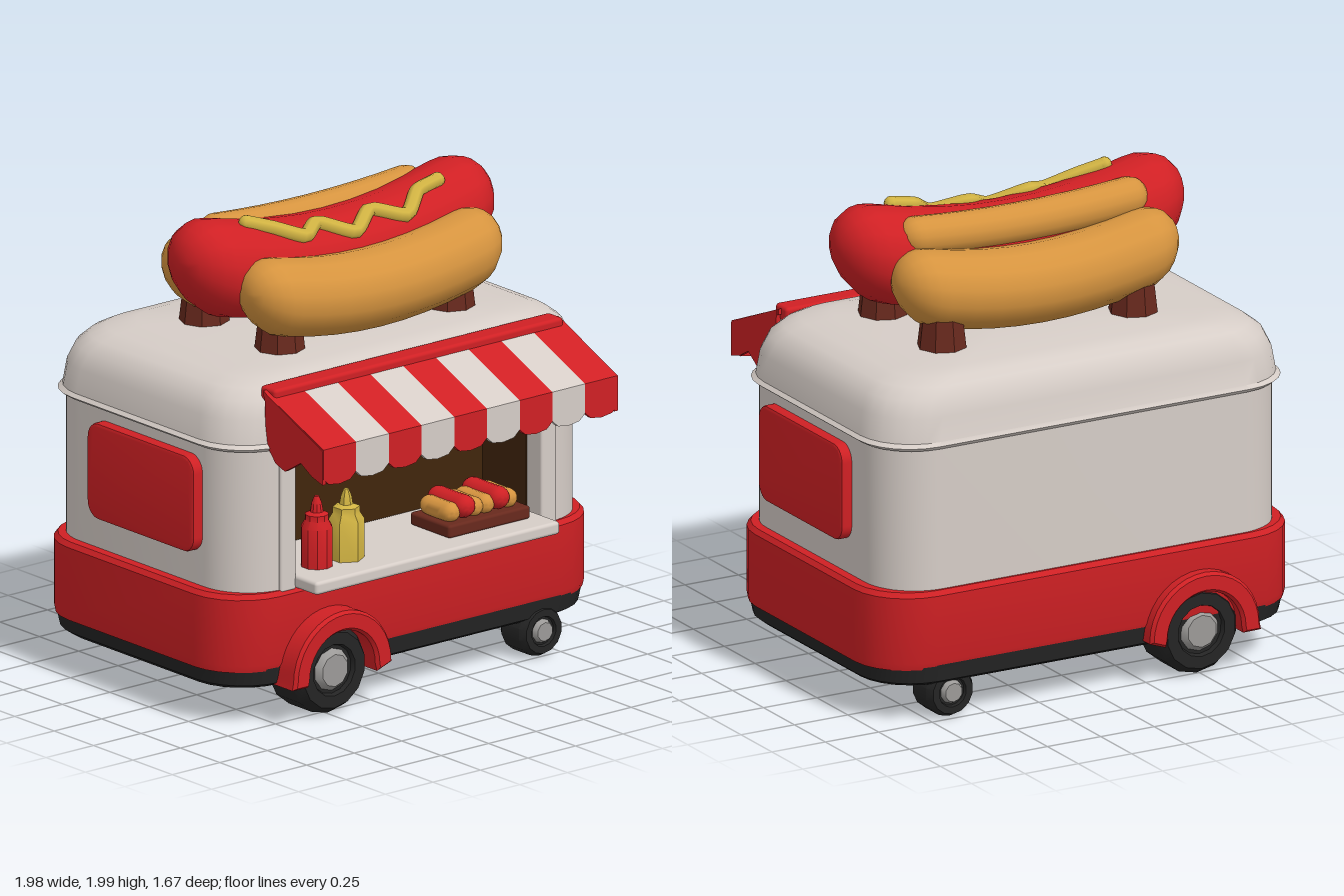
import * as THREE from 'three';
import { toCreasedNormals } from 'three/addons/utils/BufferGeometryUtils.js';
import { RoundedBoxGeometry } from 'three/addons/geometries/RoundedBoxGeometry.js';

const mat = (name, color) => {
  const m = new THREE.MeshStandardMaterial({ color });
  m.name = name;
  return m;
};

export function createModel() {
  const white = mat('cream white', 0xd6cdc7), red = mat('red', 0xd02024), tan = mat('bun tan', 0xd6943f),
    mustard = mat('mustard yellow', 0xd2b443), black = mat('tyre black', 0x242424), brown = mat('wood brown', 0x68291d),
    dark = mat('dark interior', 0x41250c), grey = mat('hub grey', 0x9c9a98);
  const model = new THREE.Group();
  const CZ = -0.13; // middle of the cabin in z

  const add = (name, geo, material, x = 0, y = 0, z = 0, parent = model) => {
    const mesh = new THREE.Mesh(geo, material);
    mesh.name = name;
    mesh.position.set(x, y, z);
    parent.add(mesh);
    return mesh;
  };
  const box = (name, m, x0, x1, y0, y1, z0, z1, r = 0.01) =>
    add(name, new RoundedBoxGeometry(x1 - x0, y1 - y0, z1 - z0, 2, r), m, (x0 + x1) / 2, (y0 + y1) / 2, (z0 + z1) / 2);

  // Stack of rounded rectangles, rows are [y, half width, half depth, corner radius]
  const loft = (rows, seg = 6) => {
    const pos = [], idx = [], n = 4 * (seg + 1);
    for (const [y, hx, hz, r] of rows)
      for (let c = 0; c < 4; c++)
        for (let i = 0; i <= seg; i++) {
          const a = (c + i / seg) * Math.PI / 2;
          const sx = c === 0 || c === 3 ? 1 : -1, sz = c < 2 ? 1 : -1;
          pos.push(sx * (hx - r) + r * Math.cos(a), y, CZ + sz * (hz - r) + r * Math.sin(a));
        }
    const last = rows.length - 1;
    for (let k = 0; k < last; k++)
      for (let j = 0; j < n; j++) {
        const a = k * n + j, b = k * n + (j + 1) % n;
        idx.push(a, a + n, b, b, a + n, b + n);
      }
    const bot = pos.length / 3;
    pos.push(0, rows[0][0], CZ, 0, rows[last][0], CZ);
    for (let j = 0; j < n; j++) {
      const k = (j + 1) % n;
      idx.push(bot, j, k, bot + 1, last * n + k, last * n + j);
    }
    const g = new THREE.BufferGeometry();
    g.setAttribute('position', new THREE.Float32BufferAttribute(pos, 3));
    g.setIndex(idx);
    return toCreasedNormals(g, 0.6);
  };

  // Chassis, red skirt and roof
  add('chassis', loft([[0.16, 0.94, 0.6, 0.23], [0.18, 0.965, 0.635, 0.24], [0.26, 0.98, 0.645, 0.24]]), black);
  add('skirt', loft([[0.24, 0.985, 0.64, 0.24], [0.27, 0.99, 0.65, 0.25], [0.55, 0.99, 0.65, 0.25], [0.57, 0.975, 0.635, 0.24]]), red);
  add('roof', loft([[1.17, 0.95, 0.63, 0.23], [1.185, 0.97, 0.642, 0.24], [1.2, 0.955, 0.63, 0.24], [1.3, 0.94, 0.62, 0.24],
    [1.37, 0.91, 0.6, 0.24], [1.41, 0.86, 0.57, 0.23], [1.435, 0.79, 0.53, 0.2], [1.45, 0.66, 0.46, 0.15]]), white);

  // Cabin walls with the serving recess cut into the front
  const W = 0.935, F = -0.5, B = 0.755, R = 0.23, deep = -0.14, P = Math.PI / 2;
  const plan = new THREE.Shape();
  plan.moveTo(-W + R, F);
  [[-0.65, F], [-0.65, deep], [0.64, deep], [0.64, F], [W - R, F]].forEach(p => plan.lineTo(...p));
  plan.absarc(W - R, F + R, R, -P, 0);
  plan.absarc(W - R, B - R, R, 0, P);
  plan.absarc(-W + R, B - R, R, P, 2 * P);
  plan.absarc(-W + R, F + R, R, 2 * P, 3 * P);
  const walls = new THREE.ExtrudeGeometry(plan, { depth: 0.64, bevelEnabled: false, curveSegments: 6 }).rotateX(-P);
  add('walls', toCreasedNormals(walls, 0.6), white, 0, 0.55, 0);
  box('interiorBack', dark, -0.65, 0.64, 0.57, 1.19, 0.135, 0.145, 0.002);
  box('interiorCeiling', dark, -0.65, 0.64, 1.16, 1.169, 0.14, 0.49, 0.002);
  for (const [a, b] of [[-0.652, -0.644], [0.634, 0.642]]) box('interiorSide', dark, a, b, 0.57, 1.19, 0.14, 0.42, 0.002);
  for (const [a, b] of [[-0.73, -0.65], [0.64, 0.72]]) box('windowFrame', white, a, b, 0.56, 1.2, 0.45, 0.512);
  box('counter', white, -0.655, 0.63, 0.565, 0.62, 0.14, 0.645, 0.015);

  // Red side panels
  for (const s of [-1, 1]) {
    const w = 0.34, h = 0.205, r = 0.07, p = new THREE.Shape();
    p.absarc(w - r, h - r, r, 0, P);
    p.absarc(r - w, h - r, r, P, 2 * P);
    p.absarc(r - w, r - h, r, 2 * P, 3 * P);
    p.absarc(w - r, r - h, r, 3 * P, 4 * P);
    const g = new THREE.ExtrudeGeometry(p, { depth: 0.04, bevelThickness: 0.012, bevelSize: 0.012, bevelOffset: -0.012, bevelSegments: 2, curveSegments: 5 });
    add('sidePanel', toCreasedNormals(g.rotateY(s * P), 0.6), red, s * 0.93, 0.915, -0.08);
  }

  // Striped awning with scalloped valance
  const awning = new THREE.Group();
  awning.name = 'awning';
  model.add(awning);
  const sw = 1.55 / 9;
  const slope = new THREE.Shape([[0.46, 1.395], [0.84, 1.235], [0.84, 1.26], [0.46, 1.42]].map(p => new THREE.Vector2(-p[0], p[1])));
  const flap = new THREE.Shape();
  flap.moveTo(0, 0.155);
  [[0, 0.035], [0.03, 0.008], [sw / 2, 0], [sw - 0.03, 0.008], [sw, 0.035], [sw, 0.155]].forEach(p => flap.lineTo(...p));
  for (let i = 0; i < 9; i++) {
    const x = -0.78 + i * sw, m = i % 2 ? white : red;
    add('awningStripe', new THREE.ExtrudeGeometry(slope, { depth: sw, bevelEnabled: false }).rotateY(P), m, x, 0, 0, awning);
    add('awningFlap', new THREE.ExtrudeGeometry(flap, { depth: 0.022, bevelEnabled: false }), m, x, 1.1, 0.818, awning);
  }
  const cheek = new THREE.Shape([[0.47, 1.415], [0.838, 1.255], [0.838, 1.11], [0.77, 1.13], [0.7, 1.17], [0.6, 1.11], [0.54, 1.13], [0.48, 1.2]]
    .map(p => new THREE.Vector2(-p[0], p[1])));
  for (const x of [-0.783, 0.753])
    add('awningCheek', new THREE.ExtrudeGeometry(cheek, { depth: 0.02, bevelEnabled: false }).rotateY(P), red, x, 0, 0, awning);
  box('awningRail', red, -0.765, 0.755, 1.365, 1.43, 0.42, 0.515, 0.015);

  // Wheels, hubs and arches on both long sides
  const wheel = (name, x, r, z, width, s) => {
    const p = [[0, -0.5], [0.8, -0.5], [1, -0.32], [1, 0.32], [0.85, 0.5], [0.58, 0.5], [0.54, 0.42], [0, 0.42]]
      .map(([a, b]) => new THREE.Vector2(a * r, b * width));
    add(name, toCreasedNormals(new THREE.LatheGeometry(p, 14).rotateX(s * P), 0.6), black, x, r + 0.005, z);
    add(name + 'Hub', toCreasedNormals(new THREE.CylinderGeometry(r * 0.36, r * 0.5, 0.03, 10).rotateX(s * P), 0.6), grey, x, r + 0.005, z + s * width * 0.46);
  };
  const arch = new THREE.Shape();
  arch.moveTo(0.25, -0.02);
  arch.absarc(0, 0, 0.245, 0, Math.PI);
  arch.lineTo(-0.25, -0.02);
  arch.lineTo(-0.19, -0.02);
  arch.absarc(0, 0, 0.185, Math.PI, 0, true);
  arch.lineTo(0.19, -0.02);
  for (const s of [-1, 1]) {
    const front = s > 0;
    wheel('mainWheel', -0.49, 0.19, front ? 0.445 : -0.67, 0.23, s);
    wheel('smallWheel', 0.65, 0.11, front ? 0.43 : -0.66, 0.17, s);
    add('smallWheelAxle', new THREE.CylinderGeometry(0.03, 0.03, 0.12, 8), grey, 0.65, 0.14, front ? 0.31 : -0.54);
    const g = new THREE.ExtrudeGeometry(arch, { depth: 0.13, bevelThickness: 0.015, bevelSize: 0.012, bevelSegments: 1, curveSegments: 9 });
    add('wheelArch', toCreasedNormals(g, 0.6), red, -0.485, 0.2, front ? 0.475 : -0.82);
  }

  // Upward-curved capsule lying along x
  const curved = (len, r, bend, sy = 1) => {
    const g = new THREE.CapsuleGeometry(r, len - 2 * r, 6, 14, 8).rotateZ(P);
    const p = g.attributes.position;
    for (let i = 0; i < p.count; i++) p.setY(i, p.getY(i) * sy + bend * p.getX(i) ** 2);
    g.computeVertexNormals();
    return toCreasedNormals(g, 1);
  };

  // Rooftop hot dog on four posts
  add('sausage', curved(1.6, 0.21, 0.22), red, 0, 1.7, -0.055);
  add('frontBun', curved(1.3, 0.17, 0.24, 0.98), tan, 0.01, 1.63, 0.18);
  add('backBun', curved(1.3, 0.17, 0.24, 0.98), tan, 0.01, 1.63, -0.3);
  add('innerBun', curved(1.15, 0.085, 0.09), tan, 0, 1.85, -0.18);
  const squeeze = [[-0.49, 0], [-0.38, 0.04], [-0.25, 0.085], [-0.15, 0.035], [0, 0.1], [0.13, 0.035], [0.27, 0.1], [0.38, 0.035], [0.49, 0.03]]
    .map(([x, z]) => new THREE.Vector3(x, 1.705 + 0.22 * x * x + Math.sqrt(0.21 ** 2 - (z + 0.055) ** 2), z));
  const path = new THREE.CatmullRomCurve3(squeeze, false, 'catmullrom', 0.3);
  add('mustardSqueeze', new THREE.TubeGeometry(path, 48, 0.032, 7), mustard);
  for (const end of [squeeze[0], squeeze[8]]) add('mustardEnd', new THREE.SphereGeometry(0.032, 8, 6), mustard, ...end);
  for (const x of [-0.425, 0.47]) for (const z of [0.135, -0.345])
    add('post', toCreasedNormals(new THREE.CylinderGeometry(0.085, 0.105, 0.17, 8), 0.6), brown, x, 1.52, z);

  // Sauce bottles
  const bottle = (name, m, x, r, sides) => {
    const p = [[0, 0], [r, 0], [r, 0.17], [r * 0.75, 0.2], [r * 0.75, 0.225], [0.028, 0.235], [0.022, 0.27], [0.01, 0.3], [0, 0.3]]
      .map(q => new THREE.Vector2(...q));
    add(name, toCreasedNormals(new THREE.LatheGeometry(p, sides), 0.6), m, x, 0.615, 0.46);
  };
  bottle('ketchupBottle', red, -0.5, 0.066, 10);
  bottle('mustardBottle', mustard, -0.345, 0.075, 6);

  // Tray with two small hot dogs
  box('tray', brown, 0.13, 0.56, 0.62, 0.675, 0.29, 0.54, 0.012);
  for (const x of [0.25, 0.43]) {
    add('snackSausage', curved(0.25, 0.048, 0.3).rotateY(P), red, x, 0.722, 0.41);
    for (const s of [-1, 1]) add('snackBun', curved(0.21, 0.042, 0.4).rotateY(P), tan, x + s * 0.06, 0.705, 0.41);
  }
  return model;
}
